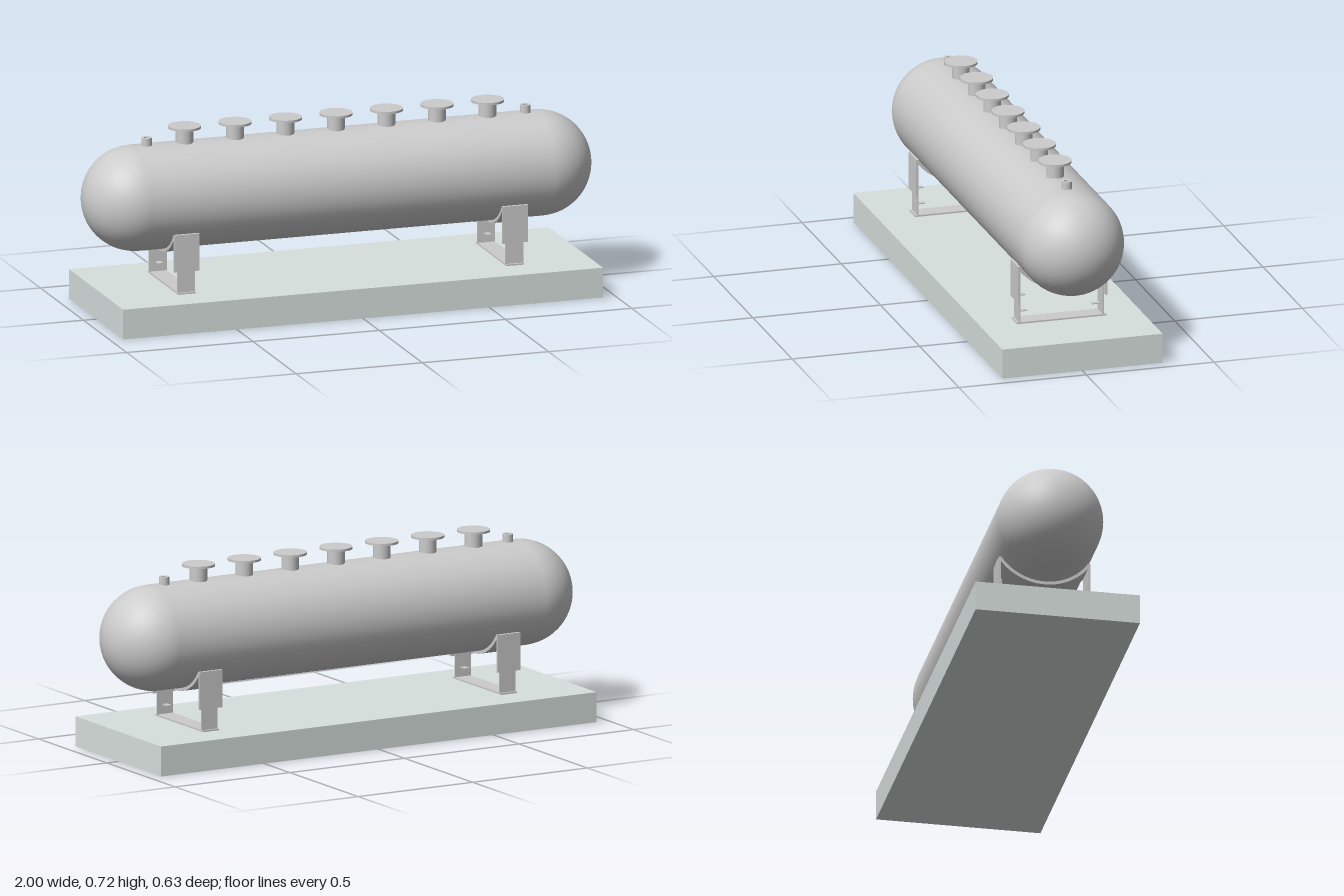
import * as THREE from 'three';

const steel = new THREE.MeshStandardMaterial({ color: 0xcccccc });
const concrete = new THREE.MeshStandardMaterial({ color: 0xd8e0de });
const AXIS_Y = 0.458, RADIUS = 0.2;

function add(parent, name, geometry, x, y, z, material = steel) {
  const mesh = new THREE.Mesh(geometry, material);
  mesh.name = name;
  mesh.position.set(x, y, z);
  parent.add(mesh);
  return mesh;
}

// Box given by its bottom and top heights
function plate(parent, name, width, y0, y1, depth, z, material) {
  return add(parent, name, new THREE.BoxGeometry(width, y1 - y0, depth), 0, (y0 + y1) / 2, z, material);
}

// Curved strip that cradles the underside of the vessel
function cradleGeometry(width) {
  const half = THREE.MathUtils.degToRad(56), down = -Math.PI / 2;
  const shape = new THREE.Shape();
  shape.absarc(0, 0, RADIUS + 0.012, down - half, down + half, false);
  shape.absarc(0, 0, RADIUS - 0.001, down + half, down - half, true);
  shape.closePath();
  const geometry = new THREE.ExtrudeGeometry(shape, { depth: width, bevelEnabled: false, curveSegments: 24 });
  return geometry.translate(0, 0, -width / 2).rotateY(Math.PI / 2);
}

function createSupport() {
  const support = new THREE.Group();
  support.name = 'support';
  plate(support, 'basePlate', 0.07, 0.115, 0.121, 0.35, 0);
  add(support, 'cradle', cradleGeometry(0.1), 0, AXIS_Y, 0);
  for (const side of [-1, 1]) {
    plate(support, 'leg', 0.07, 0.119, 0.262, 0.005, side * 0.1635);
    plate(support, 'sidePlate', 0.1, 0.202, 0.346, 0.009, side * 0.171);
    plate(support, 'upperLug', 0.02, 0.218, 0.222, 0.03, side * 0.149);
    plate(support, 'lowerLug', 0.02, 0.155, 0.159, 0.036, side * 0.146);
  }
  return support;
}

export function createModel() {
  const model = new THREE.Group();
  model.name = 'storageTank';

  plate(model, 'foundationSlab', 1.9, 0, 0.115, 0.628, 0, concrete);

  // Horizontal vessel with domed ends
  const vessel = new THREE.CapsuleGeometry(RADIUS, 1.6, 16, 48).rotateZ(Math.PI / 2);
  add(model, 'vessel', vessel, 0, AXIS_Y, 0);

  for (const x of [-0.65, 0.65]) {
    const support = createSupport();
    support.position.x = x;
    model.add(support);
  }

  // Row of flanged manholes along the top
  for (let i = -3; i <= 3; i++) {
    add(model, 'manholeNeck', new THREE.CylinderGeometry(0.033, 0.033, 0.072, 24), i * 0.2, 0.677, 0);
    add(model, 'manholeCover', new THREE.CylinderGeometry(0.0625, 0.0625, 0.009, 32), i * 0.2, 0.7165, 0);
  }

  // Small open pipe stubs near both ends
  const ring = new THREE.Shape().absarc(0, 0, 0.02, 0, Math.PI * 2, false);
  ring.holes.push(new THREE.Path().absarc(0, 0, 0.01, 0, Math.PI * 2, true));
  const stub = new THREE.ExtrudeGeometry(ring, { depth: 0.04, bevelEnabled: false, curveSegments: 20 });
  stub.rotateX(-Math.PI / 2);
  for (const x of [-0.75, 0.75]) add(model, 'pipeStub', stub, x, 0.647, 0);

  return model;
}
